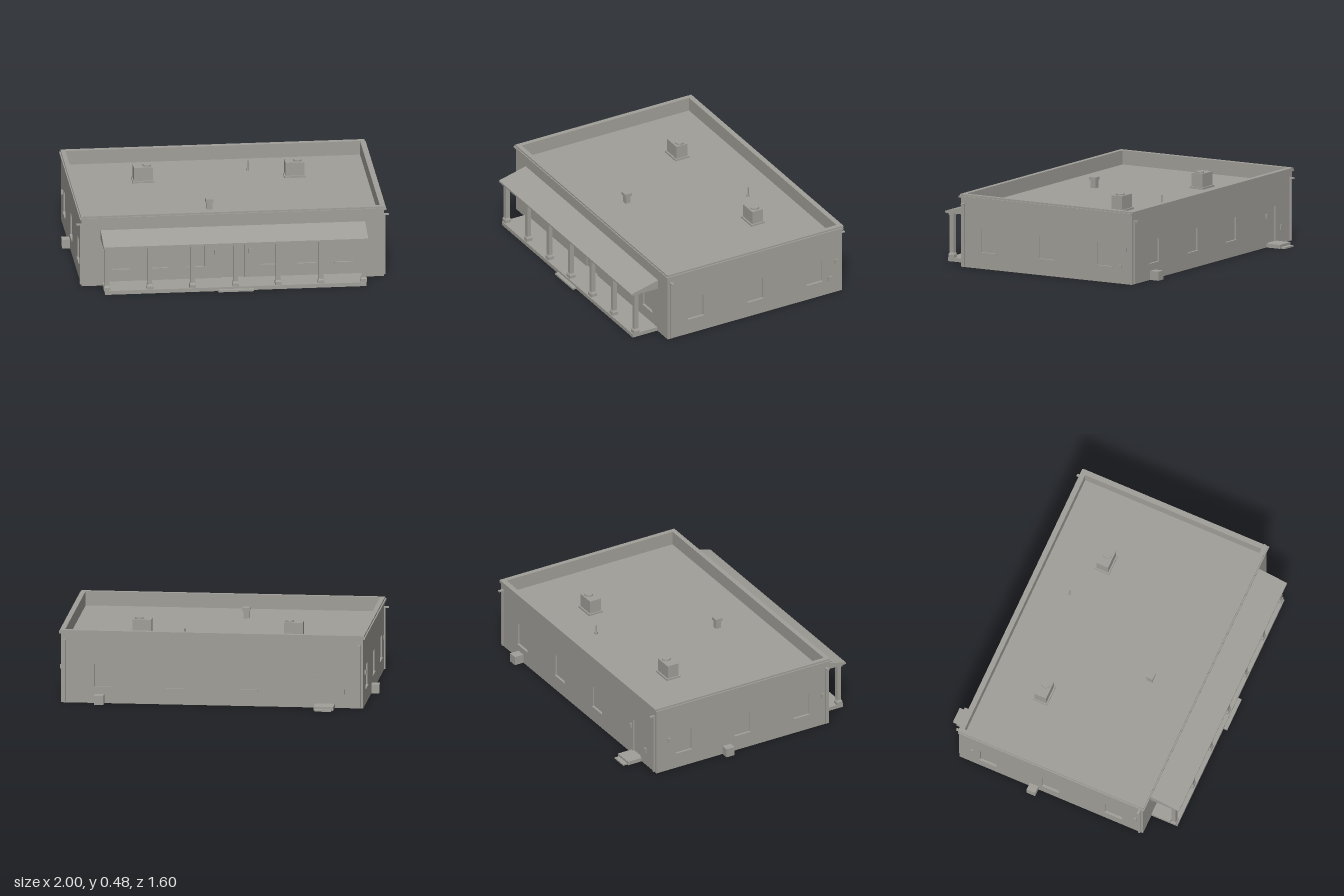
import * as THREE from 'three';

const stone = new THREE.MeshStandardMaterial({ color: 0xa19f99, side: THREE.DoubleSide });
stone.name = 'warm grey';

const CX = 0.0075, CZ = -0.037;   // centre of the building
const W = 1.915, D = 1.266;       // outer wall size
const H = 0.455, T = 0.025;       // wall height and thickness
const ROOF = 0.375;

function add(parent, name, geometry) {
  const mesh = new THREE.Mesh(geometry, stone);
  mesh.name = name;
  parent.add(mesh);
  return mesh;
}

// Box given by its limits on each axis
function box(parent, name, x0, x1, y0, y1, z0, z1) {
  const g = new THREE.BoxGeometry(x1 - x0, y1 - y0, z1 - z0);
  g.translate((x0 + x1) / 2, (y0 + y1) / 2, (z0 + z1) / 2);
  return add(parent, name, g);
}

function cylinder(parent, name, r, x, z, y0, y1, sides = 16) {
  const g = new THREE.CylinderGeometry(r, r, y1 - y0, sides);
  g.translate(x, (y0 + y1) / 2, z);
  return add(parent, name, g);
}

function rectPath(path, x0, x1, y0, y1) {
  path.moveTo(x0, y0).lineTo(x1, y0).lineTo(x1, y1).lineTo(x0, y1).closePath();
  return path;
}

// Flat ring around the roof edge, with the parapet opening left free
function ring(parent, name, x0, x1, z0, z1, y0, y1) {
  const shape = rectPath(new THREE.Shape(), x0, x1, -z1, -z0);
  shape.holes.push(rectPath(new THREE.Path(),
    CX - W / 2 + T, CX + W / 2 - T, -(CZ + D / 2 - T), -(CZ - D / 2 + T)));
  const g = new THREE.ExtrudeGeometry(shape, { depth: y1 - y0, bevelEnabled: false });
  g.rotateX(-Math.PI / 2).translate(0, y0, 0);
  return add(parent, name, g);
}

// Wall facing local +z with window and door openings; u runs along the wall
function wall(parent, name, length, windows, doors, x, z, turn) {
  const group = new THREE.Group();
  group.name = name;
  group.position.set(x, 0, z);
  group.rotation.y = turn;
  parent.add(group);
  const shape = rectPath(new THREE.Shape(), -length / 2, length / 2, 0, H);
  const open = (u, half, y0, y1, kind) => {
    shape.holes.push(rectPath(new THREE.Path(), u - half, u + half, y0, y1));
    box(group, kind, u - half, u + half, y0, y1, -0.02, -0.01);
  };
  windows.forEach(u => {
    open(u, 0.057, 0.105, 0.25, 'windowPane');
    box(group, 'windowSill', u - 0.06, u + 0.06, 0.098, 0.105, -0.01, 0.006);
  });
  doors.forEach(([u, half, y0]) => open(u, half, y0, 0.25, 'door'));
  const g = new THREE.ExtrudeGeometry(shape, { depth: T, bevelEnabled: false });
  g.translate(0, 0, -T);
  add(group, name + 'Panel', g);
  return group;
}

const lamp = (w, u, y) => box(w, 'wallLamp', u - 0.008, u + 0.008, y - 0.014, y + 0.014, 0, 0.01);
const meter = (w, u, y) => box(w, 'meterBox', u - 0.013, u + 0.013, y - 0.015, y + 0.015, 0, 0.008);

// Scupper spout with its downpipe
function downspout(w, u) {
  box(w, 'scupper', u - 0.008, u + 0.008, 0.4, 0.408, 0, 0.032);
  box(w, 'downpipe', u - 0.006, u + 0.006, 0.005, 0.4, 0, 0.01);
}

function createWalls(model) {
  const front = wall(model, 'frontWall', W, [-0.705, -0.47, -0.235, 0.235, 0.47, 0.705],
    [[0, 0.072, 0.025]], CX, CZ + D / 2, 0);
  [-0.108, 0.108].forEach(u => lamp(front, u, 0.2));

  const back = wall(model, 'backWall', W, [-0.69, -0.23, 0.23],
    [[0.715, 0.045, 0.025]], CX, CZ - D / 2, Math.PI);
  lamp(back, 0.65, 0.2);
  meter(back, 0.825, 0.105);
  [-0.933, 0.933].forEach(u => downspout(back, u));

  const sideWindows = [0.393, -0.04, -0.47];
  const right = wall(model, 'leftWall', D - 2 * T, sideWindows.map(z => CZ - z), [],
    CX + W / 2, CZ, Math.PI / 2);
  lamp(right, CZ + 0.625, 0.222);
  meter(right, CZ + 0.58, 0.11);
  downspout(right, CZ - 0.573);

  const left = wall(model, 'rightWall', D - 2 * T, sideWindows.map(z => z - CZ), [],
    CX - W / 2, CZ, -Math.PI / 2);
  lamp(left, -0.58 - CZ, 0.215);
  lamp(left, 0.545 - CZ, 0.215);
  downspout(left, 0.573 - CZ);
}

function createRoof(model) {
  const roof = new THREE.Group();
  roof.name = 'roof';
  model.add(roof);
  box(roof, 'roofDeck', CX - W / 2 + T, CX + W / 2 - T, ROOF - 0.01, ROOF,
    CZ - D / 2 + T, CZ + D / 2 - T);
  ring(roof, 'cornice', -0.963, 0.978, -0.675, 0.608, 0.443, 0.455);
  ring(roof, 'parapetCap', -0.955, 0.97, -0.679, 0.601, 0.455, 0.466);

  // Cooling units with a round fan on top
  [[-0.472, -0.445], [0.488, 0.508]].forEach(([x, fanX]) => {
    box(roof, 'unitCurb', x - 0.068, x + 0.068, ROOF, ROOF + 0.012, -0.348, -0.249);
    box(roof, 'unitBody', x - 0.06, x + 0.06, ROOF + 0.012, 0.474, -0.338, -0.259);
    cylinder(roof, 'unitFan', 0.027, fanX, -0.299, 0.474, 0.484, 24);
  });

  // Small vent and pipe
  box(roof, 'ventBase', -0.128, -0.092, ROOF, 0.425, 0.257, 0.293);
  box(roof, 'ventCap', -0.134, -0.086, 0.425, 0.445, 0.251, 0.299);
  cylinder(roof, 'ventPipe', 0.005, 0.205, -0.425, ROOF, 0.44, 10);
  cylinder(roof, 'pipeFlashing', 0.01, 0.205, -0.425, ROOF, ROOF + 0.015, 10);
}

function createPorch(model) {
  const porch = new THREE.Group();
  porch.name = 'porch';
  model.add(porch);
  const x0 = -0.83, x1 = 0.845, zWall = CZ + D / 2;
  box(porch, 'porchDeck', x0 + 0.01, x1 - 0.01, 0, 0.025, zWall, 0.775);
  box(porch, 'frontStep', -0.105, 0.12, 0, 0.012, 0.775, 0.8);

  // Sloping porch roof
  const profile = new THREE.Shape();
  profile.moveTo(-zWall, 0.31).lineTo(-0.79, 0.31).lineTo(-0.79, 0.322)
    .lineTo(-zWall, 0.37).closePath();
  const g = new THREE.ExtrudeGeometry(profile, { depth: x1 - x0, bevelEnabled: false });
  g.rotateY(Math.PI / 2).translate(x0, 0, 0);
  add(porch, 'porchRoof', g);

  // Square columns with a tapered base and cap
  for (let i = -3; i <= 3; i++) {
    const x = CX + i * 0.271, z = 0.748;
    const post = new THREE.Group();
    post.name = 'porchColumn';
    post.position.set(x, 0, z);
    porch.add(post);
    box(post, 'columnShaft', -0.014, 0.014, 0.05, 0.3, -0.014, 0.014);
    box(post, 'columnCap', -0.019, 0.019, 0.298, 0.31, -0.019, 0.019);
    box(post, 'columnFoot', -0.02, 0.02, 0.025, 0.045, -0.02, 0.02);
    const taper = new THREE.CylinderGeometry(0.014 * Math.SQRT2, 0.02 * Math.SQRT2, 0.012, 4, 1).toNonIndexed();
    taper.computeVertexNormals();
    taper.rotateY(Math.PI / 4).translate(0, 0.051, 0);
    add(post, 'columnTaper', taper);
  }
}

function createGroundItems(model) {
  const zBack = CZ - D / 2;
  box(model, 'backLanding', -0.77, -0.645, 0, 0.025, -0.77, zBack);
  box(model, 'backStep', -0.76, -0.655, 0, 0.01, -0.8, -0.77);
  box(model, 'sideCoolingBox', -1, CX - W / 2, 0, 0.058, -0.185, -0.125);
  box(model, 'backCoolingBox', 0.69, 0.75, 0, 0.058, -0.733, zBack);
}

export function createModel() {
  const model = new THREE.Group();
  model.name = 'building';
  createWalls(model);
  createRoof(model);
  createPorch(model);
  createGroundItems(model);
  return model;
}
